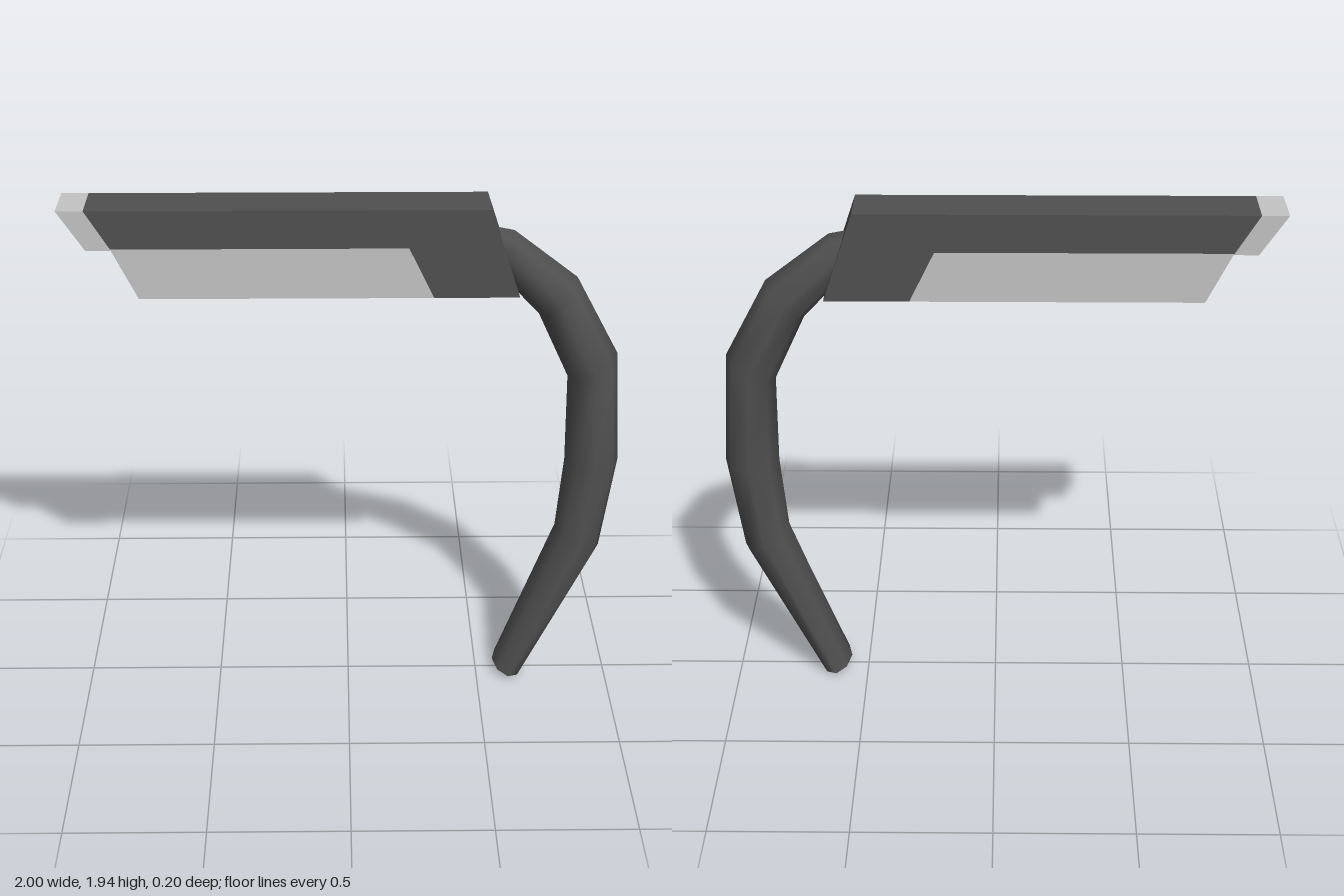
import * as THREE from 'three';

const dark = new THREE.MeshStandardMaterial({ color: 0x505050 });
dark.name = 'dark grey';
const light = new THREE.MeshStandardMaterial({ color: 0xc4c4c4 });
light.name = 'light grey';

const HALF_DEPTH = 0.09;

// Extrudes a front outline through the depth of the head
function slab(name, points, material) {
  const shape = new THREE.Shape(points.map(([x, y]) => new THREE.Vector2(x, y)));
  const geometry = new THREE.ExtrudeGeometry(shape, { depth: HALF_DEPTH * 2, bevelEnabled: false });
  geometry.translate(0, 0, -HALF_DEPTH);
  const mesh = new THREE.Mesh(geometry, material);
  mesh.name = name;
  return mesh;
}

// Lofts eight-sided oval rings: [outer x, outer y, inner x, inner y, half depth]
function loft(rings, sides = 8) {
  const positions = [];
  const indices = [];
  const ringPoint = ([ox, oy, ix, iy, depth], j) => {
    const angle = (j / sides) * Math.PI * 2;
    const c = Math.cos(angle) / 2;
    return [(ox + ix) / 2 + (ox - ix) * c, (oy + iy) / 2 + (oy - iy) * c, Math.sin(angle) * depth];
  };
  rings.forEach((ring, i) => {
    for (let j = 0; j < sides; j++) {
      positions.push(...ringPoint(ring, j));
      if (i === rings.length - 1) continue;
      const k = (j + 1) % sides;
      const a = i * sides + j, b = i * sides + k;
      indices.push(a, a + sides, b, b, a + sides, b + sides);
    }
  });
  // Flat end caps on their own vertices
  [0, rings.length - 1].forEach((r) => {
    const start = positions.length / 3;
    for (let j = 0; j < sides; j++) positions.push(...ringPoint(rings[r], j));
    for (let j = 1; j < sides - 1; j++) {
      if (r === 0) indices.push(start, start + j, start + j + 1);
      else indices.push(start, start + j + 1, start + j);
    }
  });
  const geometry = new THREE.BufferGeometry();
  geometry.setAttribute('position', new THREE.Float32BufferAttribute(positions, 3));
  geometry.setIndex(indices);
  geometry.computeVertexNormals();
  return geometry;
}

export function createModel() {
  const model = new THREE.Group();
  model.name = 'hookedBlade';

  // Long head: dark spine, pale lower edge and pale tip
  const head = new THREE.Group();
  head.name = 'head';
  head.add(
    slab('spine', [[-0.905, 1.94], [-0.82, 1.8], [0.21, 1.8], [0.3, 1.615], [0.6, 1.615], [0.49, 1.94]], dark),
    slab('lowerEdge', [[-0.82, 1.8], [-0.73, 1.615], [0.3, 1.615], [0.21, 1.8]], light),
    slab('tip', [[-1, 1.94], [-0.905, 1.795], [-0.82, 1.795], [-0.905, 1.94]], light)
  );
  model.add(head);

  // Curved handle, from the free end up into the head
  const handle = new THREE.Mesh(loft([
    [0.675, 0.005, 0.565, 0.04, 0.1],
    [0.95, 0.56, 0.78, 0.65, 0.1],
    [1.0, 0.93, 0.802, 0.93, 0.1],
    [0.97, 1.36, 0.795, 1.27, 0.1],
    [0.81, 1.655, 0.68, 1.515, 0.1],
    [0.58, 1.832, 0.53, 1.675, 0.067],
    [0.48, 1.852, 0.45, 1.72, 0.055]
  ]), dark);
  handle.name = 'handle';
  model.add(handle);

  return model;
}
